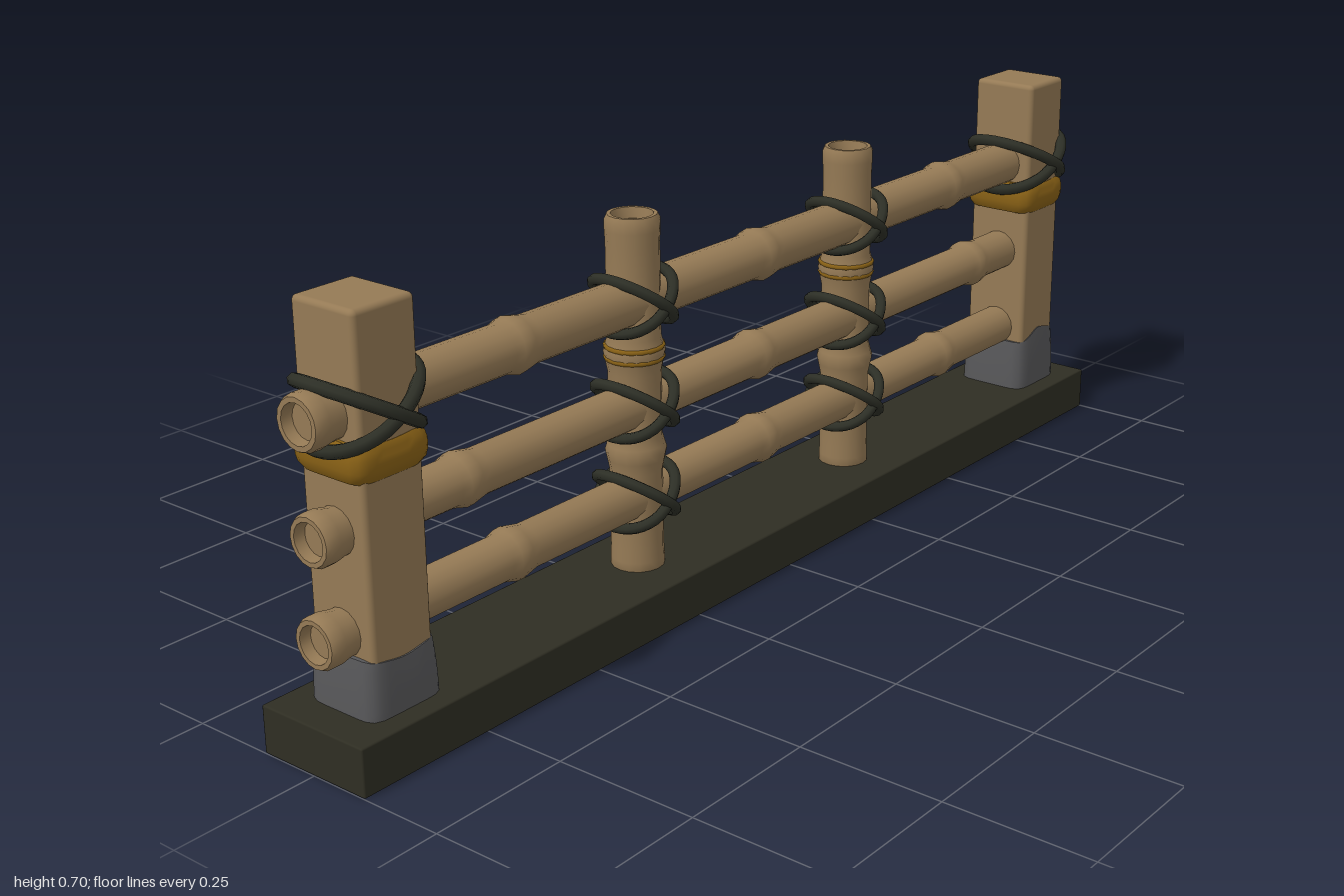
import * as THREE from 'three';
import { toCreasedNormals } from 'three/addons/utils/BufferGeometryUtils.js';
import { RoundedBoxGeometry } from 'three/addons/geometries/RoundedBoxGeometry.js';

export function createModel() {
  const group = new THREE.Group();
  const material = (name, color) => {
    const m = new THREE.MeshStandardMaterial({ color });
    m.name = name;
    return m;
  };
  const wood = material('wood', 0x957a55);
  const ground = material('darkBase', 0x2f2e23);
  const rope = material('rope', 0x2d2f26);
  const gold = material('gold', 0x8a6216);
  const stone = material('stone', 0x58585a);

  const add = (name, geometry, mat, x = 0, y = 0, z = 0) => {
    const mesh = new THREE.Mesh(geometry, mat);
    mesh.name = name;
    mesh.position.set(x, y, z);
    group.add(mesh);
    return mesh;
  };

  // Bamboo cane along y from a to b, with hollow ends and swollen nodes
  function cane(a, b, r, nodes, flare = 0.003) {
    const inner = r * 0.72, depth = 0.018;
    const p = [[0, a + depth], [inner, a + depth], [inner + 0.003, a], [r + flare - 0.004, a],
      [r + flare, a + 0.008], [r + flare, a + 0.025], [r, a + 0.045]];
    for (const n of nodes)
      p.push([r, n - 0.035], [r + 0.004, n - 0.015], [r + 0.007, n], [r + 0.004, n + 0.01], [r, n + 0.025]);
    p.push([r, b - 0.045], [r + flare, b - 0.025], [r + flare, b - 0.008], [r + flare - 0.004, b],
      [inner + 0.003, b], [inner, b - depth], [0, b - depth]);
    const g = new THREE.LatheGeometry(p.map(([x, y]) => new THREE.Vector2(x, y)), 16);
    return toCreasedNormals(g, 0.7);
  }

  // Rounded-square sleeve; half(t) is its half width and top(angle) its upper edge
  function sleeve(y0, half, top) {
    const g = new THREE.CylinderGeometry(1, 1, 1, 40, 6);
    const pos = g.attributes.position;
    for (let i = 0; i < pos.count; i++) {
      const x = pos.getX(i), z = pos.getZ(i), t = pos.getY(i) + 0.5;
      const len = Math.hypot(x, z);
      if (len > 0.01) {
        const k = half(t) / Math.pow(Math.abs(x) ** 7 + Math.abs(z) ** 7, 1 / 7);
        pos.setXYZ(i, x * k, y0 + t * (top(Math.atan2(x, z)) - y0), z * k);
      } else pos.setY(i, y0 + t * (top(0) - y0));
    }
    return toCreasedNormals(g, 0.8);
  }

  // Two crossed, tilted loops of rope round a post
  function lashing(y, z, rx, rz, rise, thick) {
    for (const side of [1, -1]) {
      const pts = [];
      for (let i = 0; i < 14; i++) {
        const a = i / 14 * Math.PI * 2;
        const wobble = 1 + 0.03 * Math.sin(3 * a + side);
        pts.push(new THREE.Vector3(Math.cos(a) * rx * wobble, side * Math.sin(a) * rise, Math.sin(a) * rz));
      }
      const curve = new THREE.CatmullRomCurve3(pts, true);
      add('ropeLoop', new THREE.TubeGeometry(curve, 36, thick, 7, true), rope, 0, y, z);
    }
  }

  add('base', new RoundedBoxGeometry(0.213, 0.08, 2, 1, 0.003), ground, 0, 0.04, 0);

  // Square end posts with stone feet, gold bands and lashings
  for (const [z, s] of [[0.872, 1], [-0.88, -1]]) {
    add('endPost', new RoundedBoxGeometry(0.127, 0.63, 0.117, 3, 0.009), wood, 0, 0.385, z);
    const edge = s > 0
      ? a => 0.168 + 0.005 * Math.sin(3 * a)
      : a => 0.172 + 0.028 * Math.max(0, Math.abs(Math.sin(a)) - 0.3) * (1 - 0.5 * Math.cos(a))
        + 0.004 * Math.sin(5 * a);
    add('postFoot', sleeve(0.078, t => 0.071 - 0.005 * t * t, edge), stone, 0, 0, z);
    add('goldBand', sleeve(0.445, t => 0.064 + 0.009 * Math.sqrt(Math.sin(Math.PI * t) + 1e-6),
      a => 0.502 + 0.004 * Math.cos(2 * a)), gold, 0, 0, z);
    lashing(0.54, z, 0.088, 0.083, 0.048, 0.011);
  }

  // Rails: height, radius, ends and nodes along z
  const rails = [
    [0.54, 0.040, -0.985, 0.988, [-0.6, -0.03, 0.57]],
    [0.362, 0.038, -0.962, 0.982, [-0.7, -0.02, 0.69]],
    [0.204, 0.038, -0.972, 0.985, [-0.59, -0.03, 0.59]],
  ];
  for (const [y, r, a, b, nodes] of rails)
    add('rail', cane(a, b, r, nodes, 0.004).rotateX(Math.PI / 2), wood, 0.002, y, 0);

  // Round middle posts with thin gold rings, lashed at every rail
  for (const [z, top] of [[0.284, 0.683], [-0.3, 0.677]]) {
    add('middlePost', cane(0.07, top, 0.044, [0.285, 0.455], 0.001), wood, 0, 0, z);
    for (const y of [0.445, 0.464])
      add('goldRing', new THREE.TorusGeometry(0.0465, 0.0045, 6, 20).rotateX(Math.PI / 2), gold, 0, y, z);
    for (const [y] of rails) lashing(y, z, 0.071, 0.054, 0.044, 0.0095);
  }
  return group;
}
